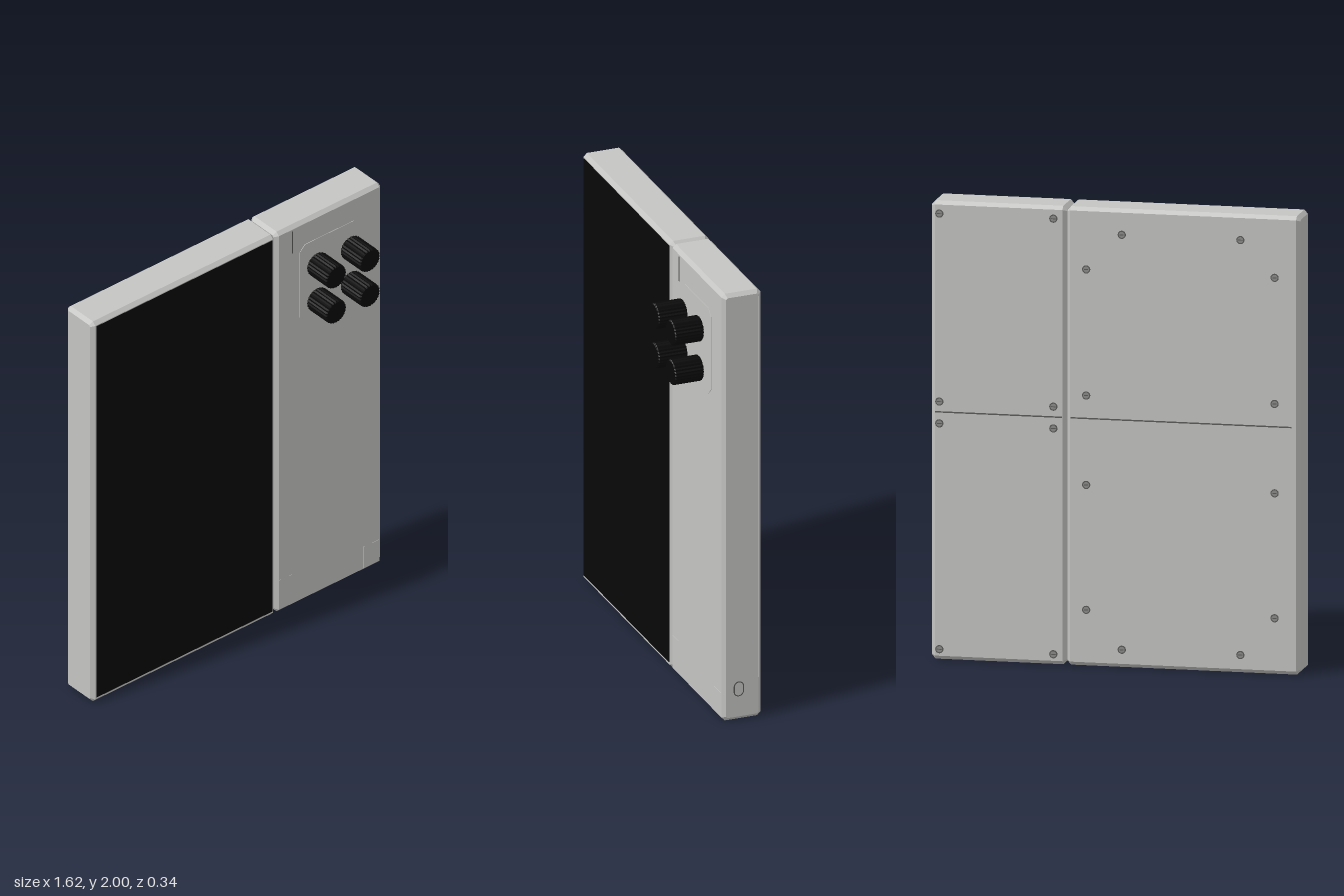
import * as THREE from 'three';

const mat = (name, color, side = THREE.FrontSide) => {
  const m = new THREE.MeshStandardMaterial({ color, side });
  m.name = name;
  return m;
};

const FRONT = 0.01, BACK = -0.17, BEVEL = 0.016;

// Polygon with cut corners
function cutRect(Path, u0, v0, u1, v1, c) {
  const p = new Path();
  const pts = [[u0 + c, v0], [u1 - c, v0], [u1, v0 + c], [u1, v1 - c],
    [u1 - c, v1], [u0 + c, v1], [u0, v1 - c], [u0, v0 + c]];
  p.setFromPoints(pts.map(([a, b]) => new THREE.Vector2(a, b)));
  return p;
}

// Chamfered case running along x, with an optional opening through its ends
function caseGeometry(x0, x1, hole) {
  const s = cutRect(THREE.Shape, -FRONT, 0, -BACK, 2, BEVEL);
  if (hole) {
    const [z0, y0, z1, y1] = hole;
    s.holes.push(new THREE.Path().setFromPoints([[-z1, y0], [-z1, y1], [-z0, y1], [-z0, y0]]
      .map(([a, b]) => new THREE.Vector2(a, b))));
  }
  const g = new THREE.ExtrudeGeometry(s, {
    depth: x1 - x0 - 2 * BEVEL, bevelEnabled: true, bevelSegments: 1,
    bevelThickness: BEVEL, bevelSize: BEVEL, bevelOffset: -BEVEL,
  });
  return g.rotateY(Math.PI / 2).translate(x0 + BEVEL, 0, 0);
}

// Flat capsule outline
function capsule(w, h) {
  const r = w / 2, s = new THREE.Shape();
  s.absarc(0, h / 2 - r, r, 0, Math.PI);
  s.absarc(0, r - h / 2, r, Math.PI, 2 * Math.PI);
  return new THREE.ShapeGeometry(s, 10);
}

export function createModel() {
  const model = new THREE.Group();
  model.name = 'controlPanel';
  const shell = mat('light grey shell', 0xc4c4c2);
  const black = mat('black plastic', 0x080808);
  const seam = mat('dark grey seam', 0x5c5c5a);
  const metal = mat('grey screw', 0x8c8c8a);

  const add = (name, geometry, material, x = 0, y = 0, z = 0) => {
    const m = new THREE.Mesh(geometry, material);
    m.name = name;
    m.position.set(x, y, z);
    model.add(m);
    return m;
  };
  const box = (name, x0, x1, y0, y1, z0, z1, material) =>
    add(name, new THREE.BoxGeometry(x1 - x0, y1 - y0, z1 - z0), material,
      (x0 + x1) / 2, (y0 + y1) / 2, (z0 + z1) / 2);

  // Two cases side by side
  add('screenCase', caseGeometry(-0.81, 0.212), shell);
  add('controlCase', caseGeometry(0.214, 0.806, [-0.14, 0.2, -0.02, 1.955]), shell);
  box('recessFloor', 0.235, 0.768, 0.19, 1.965, -0.145, -0.015, shell);
  box('screen', -0.788, 0.192, 0.026, 1.98, FRONT - 0.004, FRONT + 0.002, black);

  // Connector ledges in the side recess
  for (let i = 0; i < 11; i++) {
    const y = 1.865 - i * 0.1625;
    box('connectorLedge', 0.76, 0.785, y - 0.006, y + 0.006, -0.13, -0.03, shell);
    box('connectorLip', 0.76, 0.777, y - 0.03, y - 0.006, -0.125, -0.075, shell);
    box('connectorShadowLine', 0.767, 0.77, y - 0.011, y - 0.006, -0.13, -0.03, seam);
  }

  // Knob plate, slit and corner pads on the front
  const plate = new THREE.ExtrudeGeometry(
    cutRect(THREE.Shape, 0.345, 1.475, 0.675, 1.875, 0.03), { depth: 0.002, bevelEnabled: false });
  add('knobPlate', plate, shell, 0, 0, FRONT);
  box('frontSlit', 0.303, 0.308, 1.86, 1.975, FRONT - 0.002, FRONT + 0.001, seam);
  box('cornerPad', 0.232, 0.3, 0.018, 0.17, FRONT - 0.002, FRONT + 0.001, shell);
  box('cornerPad', 0.7, 0.788, 0.018, 0.13, FRONT - 0.002, FRONT + 0.001, shell);

  // Fluted knobs standing in front of the plate
  const flutes = 24, outline = [];
  for (let i = 0; i < flutes * 2; i++) {
    const a = (i / (flutes * 2)) * Math.PI * 2, r = i % 2 ? 0.0535 : 0.057;
    outline.push(new THREE.Vector2(r * Math.cos(a), r * Math.sin(a)));
  }
  const knob = new THREE.ExtrudeGeometry(new THREE.Shape(outline), {
    depth: 0.123, bevelEnabled: true, bevelSegments: 1,
    bevelThickness: 0.005, bevelSize: 0.004, bevelOffset: -0.004,
  });
  for (const x of [0.417, 0.605]) for (const y of [1.77, 1.585]) add('knob', knob, black, x, y, 0.042);

  // Seams across the back covers
  box('backSeam', -0.775, 0.194, 1.077, 1.083, BACK - 0.001, BACK + 0.002, seam);
  box('backSeam', 0.232, 0.788, 1.077, 1.083, BACK - 0.001, BACK + 0.002, seam);

  // Screws in the back covers
  const ring = new THREE.CylinderGeometry(0.018, 0.018, 0.003, 20).rotateX(Math.PI / 2);
  const head = new THREE.CylinderGeometry(0.013, 0.013, 0.005, 20).rotateX(Math.PI / 2);
  const screw = (x, y) => {
    add('screwRim', ring, seam, x, y, BACK);
    add('screwHead', head, metal, x, y, BACK);
    box('screwSlot', x - 0.009, x + 0.009, y - 0.002, y + 0.002, BACK - 0.0035, BACK, seam);
  };
  for (const x of [0.27, 0.77]) for (const y of [1.945, 1.125, 1.03, 0.045]) screw(x, y);
  for (const x of [0.126, -0.7]) for (const y of [1.73, 1.18, 0.79, 0.245]) screw(x, y);
  for (const x of [-0.03, -0.55]) for (const y of [1.888, 0.078]) screw(x, y);

  // Side port and bottom socket
  add('sidePortRim', capsule(0.048, 0.07), seam, 0.8065, 0.145, -0.064).rotation.y = Math.PI / 2;
  add('sidePort', capsule(0.038, 0.06), shell, 0.807, 0.145, -0.064).rotation.y = Math.PI / 2;
  const socket = capsule(0.022, 0.06).rotateZ(Math.PI / 2).rotateX(Math.PI / 2);
  add('bottomSocket', socket, seam, 0.69, -0.0008, -0.08);

  return model;
}
